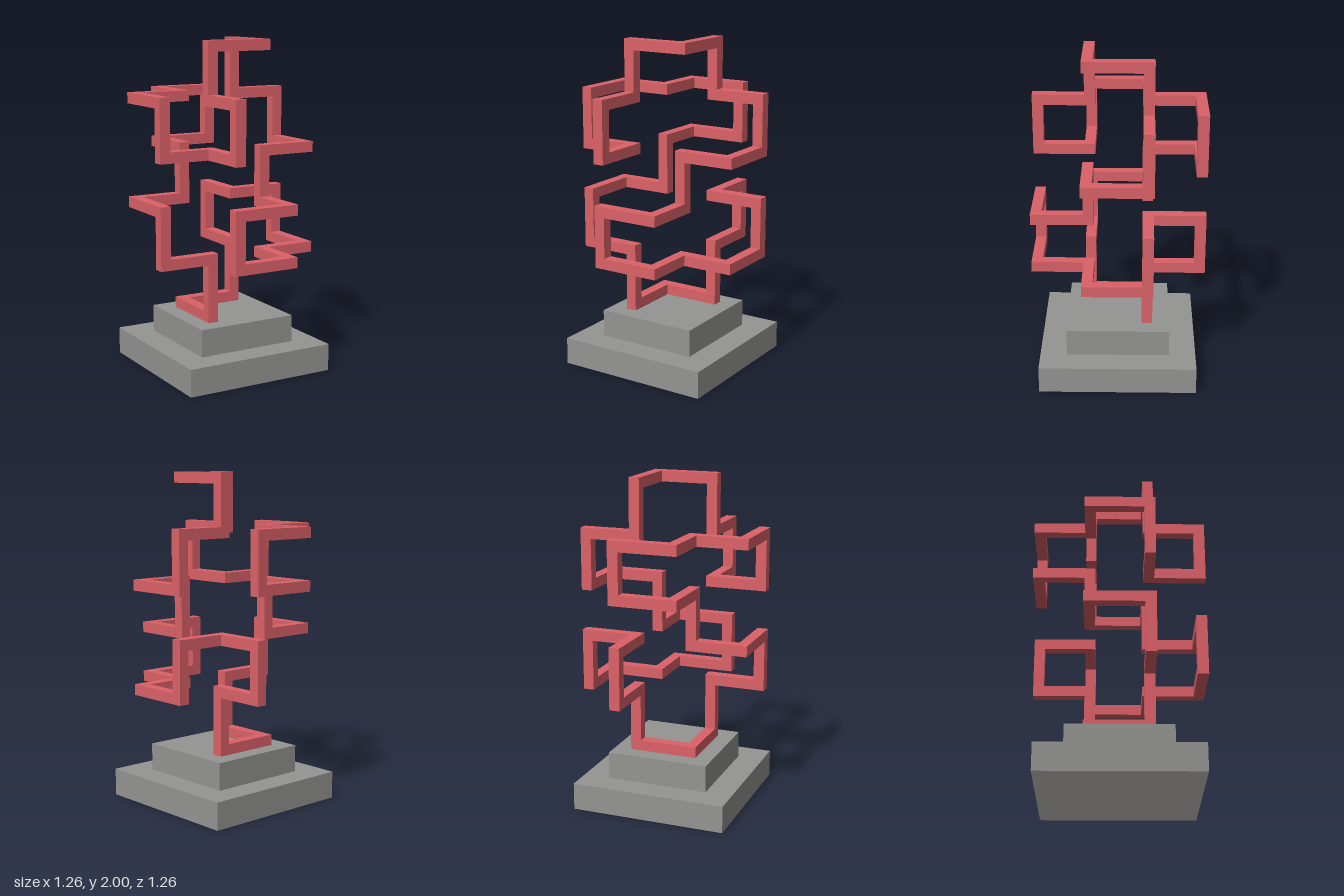
import * as THREE from 'three';

const red = new THREE.MeshStandardMaterial({ name: 'red', color: 0xdc6268 });
const grey = new THREE.MeshStandardMaterial({ name: 'grey', color: 0x949492 });
const paleGrey = new THREE.MeshStandardMaterial({ name: 'paleGrey', color: 0xcfcdc9 });

const BAR = 0.0655; // square bar thickness
const GRID = { '-2': -0.49, '-1': -0.177, 1: 0.177, 2: 0.49 }; // lattice columns
const LEVELS = [0.363, 0.716, 1.029, 1.342, 1.655, 1.967];

// Corners of the closed loop as [column x, level, column z]
const LOOP = [
  [1, 0, -1], [-1, 0, -1], [-1, 0, 1],
  [-1, 1, 1], [-2, 1, 1],
  [-2, 2, 1], [-2, 2, -1], [-1, 2, -1],
  [-1, 3, -1], [-1, 3, -2], [1, 3, -2],
  [1, 4, -2], [-1, 4, -2], [-1, 4, -1], [-2, 4, -1], [-2, 4, 1],
  [-2, 3, 1], [-1, 3, 1], [-1, 3, 2],
  [-1, 4, 2], [-1, 4, 1],
  [-1, 5, 1], [1, 5, 1], [1, 5, -1],
  [1, 4, -1], [2, 4, -1],
  [2, 3, -1], [2, 3, 1], [1, 3, 1],
  [1, 2, 1], [1, 2, 2], [-1, 2, 2],
  [-1, 1, 2], [1, 1, 2], [1, 1, 1], [2, 1, 1], [2, 1, -1],
  [2, 2, -1], [1, 2, -1], [1, 2, -2],
  [1, 1, -2], [1, 1, -1],
];

function box(name, w, h, d, material) {
  const mesh = new THREE.Mesh(new THREE.BoxGeometry(w, h, d), material);
  mesh.name = name;
  return mesh;
}

// Bar that fills its start corner and butts against the next bar
function bar(from, to) {
  const along = to.clone().sub(from);
  const half = along.clone().normalize().multiplyScalar(BAR / 2);
  const size = ['x', 'y', 'z'].map((k) => Math.max(Math.abs(along[k]), BAR));
  const mesh = box('loopBar', ...size, red);
  mesh.position.copy(from).add(to).multiplyScalar(0.5).sub(half);
  return mesh;
}

export function createModel() {
  const model = new THREE.Group();
  model.name = 'loopSculpture';

  // Stepped pedestal; the lower step has a pale underside
  const lower = box('lowerPlinth', 0.953, 0.165, 0.953, [grey, grey, grey, paleGrey, grey, grey]);
  lower.position.y = 0.0825;
  const upper = box('upperPlinth', 0.627, 0.165, 0.627, grey);
  upper.position.y = 0.2475;
  model.add(lower, upper);

  // Closed loop of square bars
  const loop = new THREE.Group();
  loop.name = 'loop';
  const points = LOOP.map(([x, y, z]) => new THREE.Vector3(GRID[x], LEVELS[y], GRID[z]));
  points.forEach((p, i) => loop.add(bar(p, points[(i + 1) % points.length])));
  model.add(loop);

  // The whole piece stands turned about its axis
  model.rotation.y = THREE.MathUtils.degToRad(24.5);
  const root = new THREE.Group();
  root.name = 'sculpture';
  root.add(model);
  return root;
}
